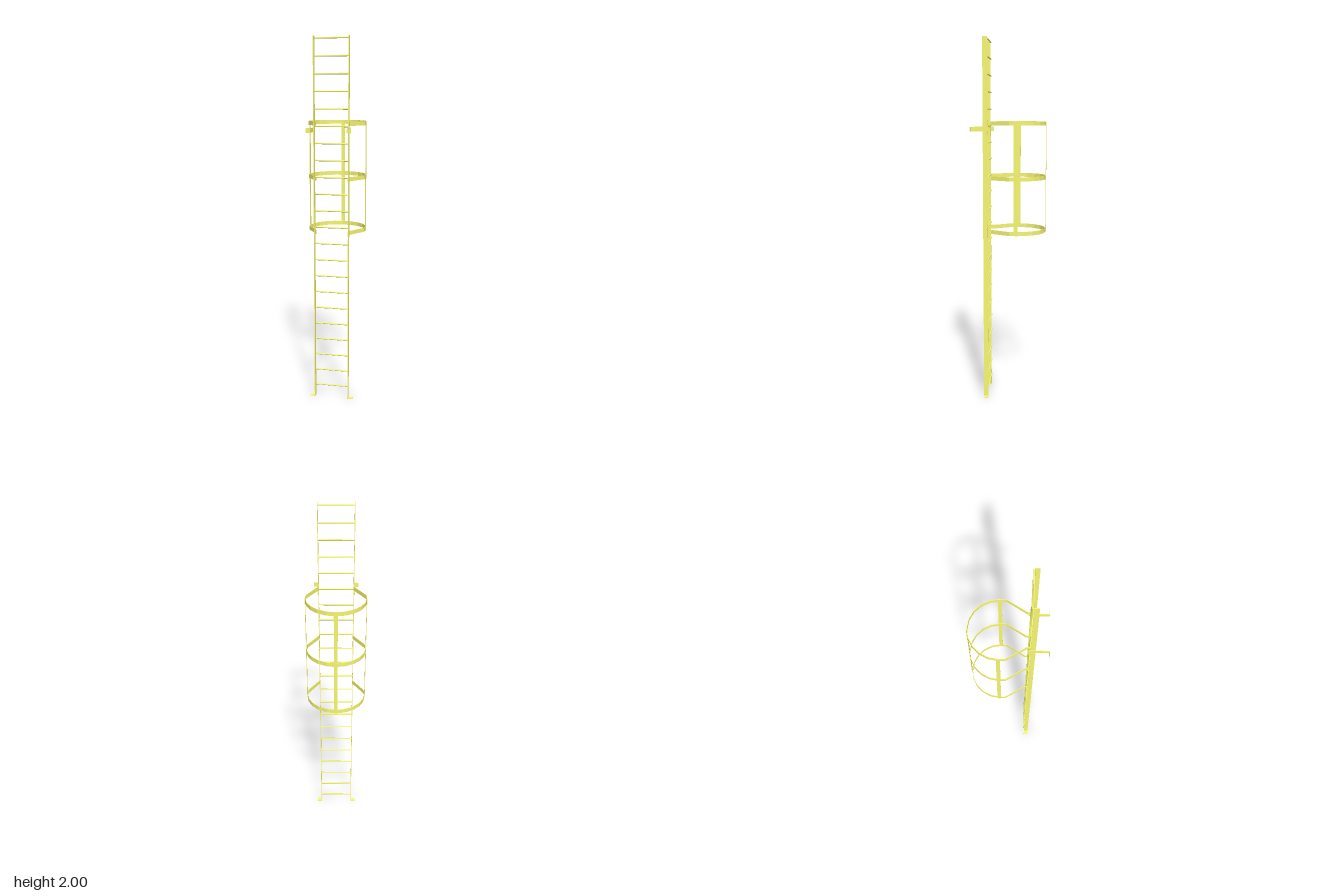
import * as THREE from 'three';

const paint = new THREE.MeshStandardMaterial({ color: 0xf8f874 });

const RAIL_X = 0.0945; // middle of each rail
const HOOP_Y = [0.952, 1.248, 1.544];
const HOOP_H = 0.022;

function add(parent, name, geometry, x = 0, y = 0, z = 0) {
  const mesh = new THREE.Mesh(geometry, paint);
  mesh.name = name;
  mesh.position.set(x, y, z);
  parent.add(mesh);
}

// Box given by two opposite corners
function bar(parent, name, [x0, y0, z0], [x1, y1, z1]) {
  const box = new THREE.BoxGeometry(Math.abs(x1 - x0), y1 - y0, z1 - z0);
  add(parent, name, box, (x0 + x1) / 2, (y0 + y1) / 2, (z0 + z1) / 2);
}

// Flat strip following a plan path, bent with mitred corners
function stripGeometry(path, thickness, height) {
  const normal = (a, b) => {
    const d = b.clone().sub(a).normalize();
    return new THREE.Vector2(-d.y, d.x);
  };
  const outer = [];
  const inner = [];
  const last = path.length - 1;
  path.forEach((p, i) => {
    const before = Math.max(i - 1, 0);
    const after = Math.min(i, last - 1);
    const n1 = normal(path[before], path[before + 1]);
    const n2 = normal(path[after], path[after + 1]);
    const m = n1.clone().add(n2).normalize();
    m.multiplyScalar(thickness / 2 / m.dot(n1));
    outer.push(p.clone().add(m));
    inner.push(p.clone().sub(m));
  });
  const shape = new THREE.Shape([...outer, ...inner.reverse()]);
  const geometry = new THREE.ExtrudeGeometry(shape, { depth: height, bevelEnabled: false });
  geometry.translate(0, 0, -height / 2);
  return geometry.rotateX(Math.PI / 2);
}

// Plan of a cage hoop: straight legs, flared sides and a faceted half circle
function hoopPath() {
  const half = [[0.0925, 0.135], [0.0925, 0.092], [0.157, -0.012]];
  for (let i = 0; i < 5; i++) {
    const a = (i * Math.PI) / 10;
    half.push([0.1575 * Math.cos(a), -0.045 - 0.1575 * Math.sin(a)]);
  }
  const mirrored = half.map(([x, z]) => [-x, z]).reverse();
  return [...half, [0, -0.2025], ...mirrored].map(([x, z]) => new THREE.Vector2(x, z));
}

export function createModel() {
  const model = new THREE.Group();
  model.name = 'cagedLadder';

  // Rails, feet and wall brackets on both sides
  for (const s of [1, -1]) {
    const side = s > 0 ? 'left' : 'right';
    bar(model, side + 'Rail', [s * 0.093, 0, 0.111], [s * 0.0965, 2, 0.136]);
    bar(model, side + 'Foot', [s * 0.093, 0, 0.111], [s * 0.121, 0.004, 0.136]);

    const bracket = new THREE.Group();
    bracket.name = side + 'WallBracket';
    bar(bracket, 'bracketArm', [s * 0.0965, 1.501, 0.097], [s * 0.0995, 1.525, 0.2045]);
    bar(bracket, 'bracketPlate', [s * 0.0995, 1.501, 0.2015], [s * 0.122, 1.525, 0.2045]);
    model.add(bracket);
  }

  // Rungs
  const rungs = new THREE.Group();
  rungs.name = 'rungs';
  const rungGeometry = new THREE.CylinderGeometry(0.004, 0.004, RAIL_X * 2, 12).rotateZ(Math.PI / 2);
  for (let i = 0; i < 22; i++) add(rungs, 'rung', rungGeometry, 0, 0.064 + i * 0.0917, 0.1095);
  model.add(rungs);

  // Safety cage: hoops tied together by vertical straps
  const cage = new THREE.Group();
  cage.name = 'safetyCage';
  const hoopGeometry = stripGeometry(hoopPath(), 0.0025, HOOP_H);
  for (const y of HOOP_Y) add(cage, 'hoop', hoopGeometry, 0, y, 0);
  const y0 = HOOP_Y[0] - HOOP_H / 2;
  const y1 = HOOP_Y[2] + HOOP_H / 2;
  bar(cage, 'backStrap', [-0.01, y0, -0.2065], [0.01, y1, -0.204]);
  for (const s of [1, -1]) {
    bar(cage, 'sideStrap', [s * 0.158, y0, -0.056], [s * 0.1605, y1, -0.036]);
  }
  model.add(cage);

  return model;
}
